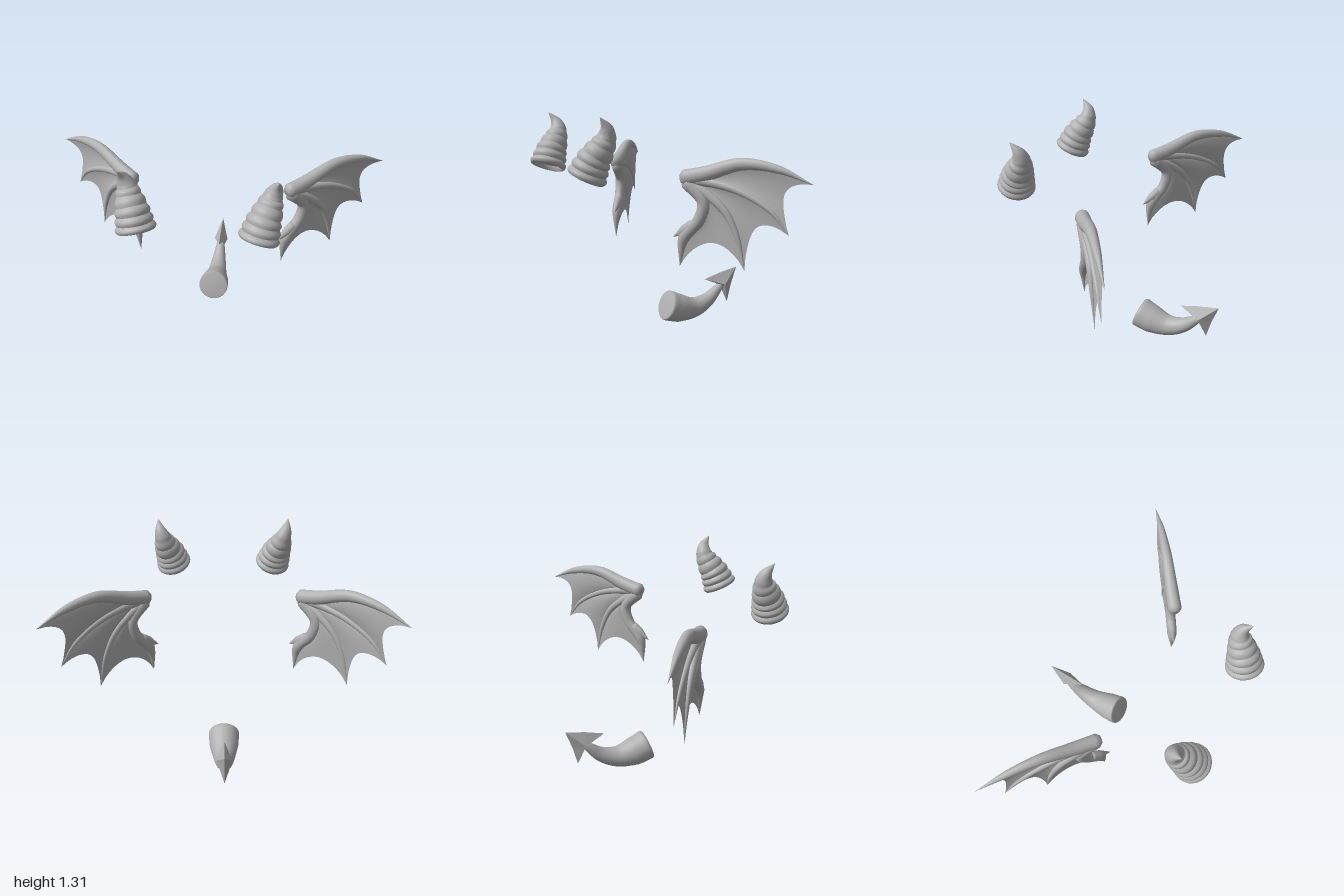
import * as THREE from 'three';

const grey = new THREE.MeshStandardMaterial({ color: 0xb0b0b0, side: THREE.DoubleSide });
grey.name = 'plain grey';

const curveOf = (pts) => new THREE.CatmullRomCurve3(pts.map((p) => new THREE.Vector3(...p)));

function indexed(pos, index) {
  const g = new THREE.BufferGeometry();
  g.setAttribute('position', new THREE.Float32BufferAttribute(pos, 3));
  g.setIndex(index);
  g.computeVertexNormals();
  return g;
}

// Joins a grid of vertices; wrap closes each row into a ring
function gridIndex(rows, cols, wrap) {
  const index = [];
  for (let i = 0; i < rows - 1; i++) {
    for (let j = 0; j < (wrap ? cols : cols - 1); j++) {
      const k = (j + 1) % cols;
      const a = i * cols + j, b = i * cols + k, c = a + cols, d = b + cols;
      index.push(a, b, c, b, d, c);
    }
  }
  return index;
}

// Rings along a path: rows are [t, radius], ref fixes the roll, flat scales along ref
function sweep(curve, rows, ref, sides = 20, flat = 1) {
  const pos = [];
  for (const [t, r] of rows) {
    const p = curve.getPoint(t), tan = curve.getTangent(t);
    const side = new THREE.Vector3().crossVectors(ref, tan).normalize();
    const up = new THREE.Vector3().crossVectors(tan, side);
    for (let j = 0; j < sides; j++) {
      const a = (j / sides) * Math.PI * 2;
      const v = p.clone().addScaledVector(side, Math.cos(a) * r).addScaledVector(up, Math.sin(a) * r * flat);
      pos.push(v.x, v.y, v.z);
    }
  }
  return indexed(pos, gridIndex(rows.length, sides, true));
}

// Linear lookup in evenly spaced values
function lookup(values, t) {
  const f = t * (values.length - 1), i = Math.min(Math.floor(f), values.length - 2);
  return THREE.MathUtils.lerp(values[i], values[i + 1], f - i);
}

// Tapered limb with a rounded start and a pointed end
function taperedRows(radii, n = 28) {
  const rows = [[0, 0], [0, radii[0] * 0.6]];
  for (let i = 1; i <= n; i++) rows.push([i / n, lookup(radii, i / n)]);
  return rows;
}

function mirrored(g) {
  const m = g.clone().scale(-1, 1, 1), a = m.index.array;
  for (let i = 0; i < a.length; i += 3) [a[i], a[i + 1]] = [a[i + 1], a[i]];
  return m;
}

function hornParts() {
  const path = curveOf([
    [0.315, 1.0, 0.535], [0.337, 1.09, 0.5], [0.36, 1.16, 0.463],
    [0.374, 1.21, 0.442], [0.39, 1.26, 0.448], [0.404, 1.317, 0.49],
  ]);
  const radii = [0.108, 0.092, 0.072, 0.053, 0.034, 0];
  // recessed hollow base and rim
  const rows = [[0.05, 0], [0.05, 0.08], [0.05, 0.08], [0, 0.085], [0, 0.1]];
  // bulging rings
  const edges = [0, 0.08, 0.17, 0.27, 0.42, 0.58];
  for (let k = 0; k < edges.length - 1; k++) {
    for (let s = 0; s <= 6; s++) {
      const t = THREE.MathUtils.lerp(edges[k], edges[k + 1], s / 6);
      rows.push([t, lookup(radii, t) * (0.93 + 0.11 * Math.sin((Math.PI * s) / 6))]);
    }
  }
  // smooth hooked tip
  for (let i = 1; i <= 12; i++) {
    const t = 0.58 + (0.42 * i) / 12;
    rows.push([t, lookup(radii, t)]);
  }
  return { horn: sweep(path, rows, new THREE.Vector3(1, 0, 0), 28) };
}

function wingParts() {
  const Z = new THREE.Vector3(0, 0, 1);
  const STRETCH = 1.262; // the wing lies in an upright plane swept backwards
  const flatCurve = (pts) => curveOf(pts.map(([x, y]) => [(x - 0.43) * STRETCH, y, 0]));
  const ribs = [
    ['leadingEdge', [[0.435, 0.985], [0.54, 1.015], [0.7, 1.077], [0.85, 1.06], [0.995, 0.992]], [0.045, 0.042, 0.033, 0.022, 0.001]],
    ['upperFinger', [[0.46, 0.98], [0.57, 0.97], [0.7, 0.93], [0.83, 0.84], [0.906, 0.725]], [0.03, 0.024, 0.018, 0.013, 0.001]],
    ['middleFinger', [[0.46, 0.97], [0.55, 0.91], [0.635, 0.82], [0.69, 0.69], [0.725, 0.515]], [0.03, 0.026, 0.021, 0.015, 0.001]],
    ['innerArm', [[0.45, 0.98], [0.535, 0.87], [0.52, 0.77], [0.45, 0.66], [0.432, 0.5]], [0.04, 0.034, 0.034, 0.033, 0.001]],
  ].map(([name, pts, radii]) => ({ name, radii, curve: flatCurve(pts) }));

  const parts = {};
  for (const { name, radii, curve } of ribs) parts[name] = sweep(curve, taperedRows(radii), Z, 14, 0.9);
  // small spur at the foot of the arm
  parts.armSpur = sweep(flatCurve([[0.5, 0.74], [0.45, 0.7], [0.4, 0.663]]), taperedRows([0.036, 0.03, 0.001], 10), Z, 12, 0.8);

  // scalloped, slightly sagging skin between neighbouring ribs
  const scallop = [0.17, 0.22, 0.2], N = 20, M = 14;
  for (let k = 0; k < 3; k++) {
    const pos = [];
    for (let i = 0; i <= N; i++) {
      for (let j = 0; j <= M; j++) {
        const s = j / M, bow = 4 * s * (1 - s);
        const t = (i / N) * (1 - scallop[k] * Math.pow(bow, 0.75));
        const p = ribs[k].curve.getPoint(t).lerp(ribs[k + 1].curve.getPoint(t), s);
        pos.push(p.x, p.y, -0.016 * bow * Math.sin(Math.PI * Math.min(t * 1.1, 1) * 0.7));
      }
    }
    parts['membrane' + (k + 1)] = indexed(pos, gridIndex(N + 1, M + 1, false));
  }
  for (const g of Object.values(parts)) g.rotateY(Math.atan(0.77)).translate(0.43, 0, 0.04);
  return parts;
}

function tailParts() {
  const path = curveOf([
    [0, 0.128, -0.108], [0, 0.096, -0.2], [0, 0.084, -0.31],
    [0, 0.12, -0.41], [0, 0.187, -0.49], [0, 0.225, -0.535],
  ]);
  const radii = [0.096, 0.089, 0.064, 0.046, 0.028, 0.012];
  const rows = [[0, 0], [0, 0.088], [0.015, 0.094]];
  for (let i = 1; i <= 30; i++) rows.push([i / 30, lookup(radii, i / 30)]);
  const tail = sweep(path, rows, new THREE.Vector3(1, 0, 0), 24);

  // barbed point: outline in (z, y) with a ridge on either side
  const outline = [[-0.627, 0.314], [-0.5, 0.289], [-0.387, 0.258], [-0.49, 0.214],
    [-0.518, 0.18], [-0.56, 0.087], [-0.588, 0.2]];
  const pos = [], index = [];
  for (const x of [0.045, -0.045]) {
    outline.forEach(([z, y], i) => {
      const [z2, y2] = outline[(i + 1) % outline.length];
      const n = pos.length / 3;
      pos.push(x, 0.218, -0.516, 0, y, z, 0, y2, z2);
      index.push(n, ...(x > 0 ? [n + 2, n + 1] : [n + 1, n + 2]));
    });
  }
  // the outline runs from the tip over the top, so flip to face outwards
  const cross = (outline[1][0] - outline[0][0]) * (outline[2][1] - outline[0][1])
    - (outline[1][1] - outline[0][1]) * (outline[2][0] - outline[0][0]);
  if (cross > 0) index.reverse();
  return { tail, tailPoint: indexed(pos, index) };
}

function assemble(name, parts, mirror = false) {
  const group = new THREE.Group();
  group.name = name;
  for (const [part, g] of Object.entries(parts)) {
    const mesh = new THREE.Mesh(mirror ? mirrored(g) : g, grey);
    mesh.name = part;
    group.add(mesh);
  }
  return group;
}

export function createModel() {
  const model = new THREE.Group();
  model.name = 'hornsWingsAndTail';
  const horn = hornParts(), wing = wingParts();
  model.add(
    assemble('leftHorn', horn), assemble('rightHorn', horn, true),
    assemble('leftWing', wing), assemble('rightWing', wing, true),
    assemble('tailGroup', tailParts()),
  );
  return model;
}
